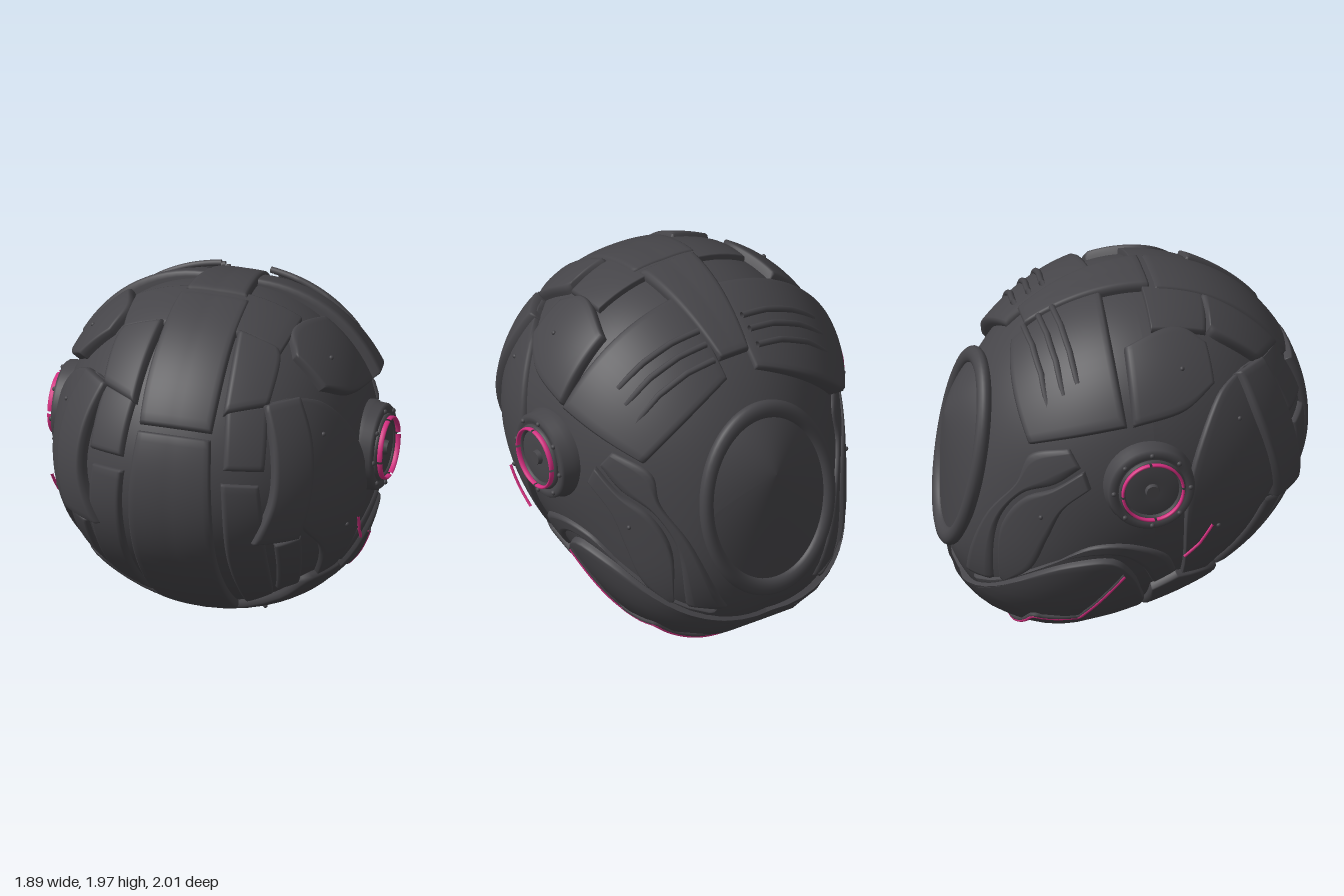
import * as THREE from 'three';

const V = (x, y, z) => new THREE.Vector3(x, y, z);
const CENTER = V(0, 0.97, 0.03);
const TILT = Math.atan2(0.21, 1.11); // lean of the rear hatch
const HATCH_N = V(0, Math.sin(TILT), -Math.cos(TILT));
// Broad swells of the shell: direction, amount, tightness
const SWELLS = [
  [V(0, -0.62, -0.78), 0.22, 5], // rear jaw
  [V(0.46, -0.7, -0.55), 0.12, 10], // jaw corners
  [V(0, -0.75, 0.66), -0.1, 4], // receding chin
  [V(0, 0.75, 0.66), 0.06, 3], // forehead
  [V(0.65, 0.76, 0), 0.06, 6], // upper sides
  [V(0.7, 0.1, 0.7), 0.06, 6], // temples
];

const shellMat = new THREE.MeshStandardMaterial({ color: 0x464549, side: THREE.DoubleSide });
shellMat.name = 'charcoal';
const glowMat = new THREE.MeshStandardMaterial({ color: 0xd42e80 });
glowMat.name = 'pink';

// Shell radius in a direction: a swollen ellipsoid, cut flat at the hatch
function radius(d) {
  let r = 1 / Math.hypot(d.x / 0.84, d.y / 0.9, d.z / 0.92);
  const e = V(Math.abs(d.x), d.y, d.z);
  let f = 1;
  for (const [dir, k, p] of SWELLS) f += k * Math.max(0, e.dot(dir)) ** p;
  r *= f;
  const k = d.dot(HATCH_N);
  return k > 0 ? Math.min(r, 0.88 / k) : r;
}
const surf = (d, h = 0) => d.clone().multiplyScalar(radius(d) + h).add(CENTER);

// Cast a flat position along one axis onto the shell; gives a direction from the centre
function cast(p, axis, sign) {
  p.sub(CENTER);
  let lo = 0, hi = 1.3;
  for (let i = 0; i < 30; i++) {
    const m = (lo + hi) / 2;
    p[axis] = m * sign;
    if (p.length() < radius(p.clone().normalize())) lo = m; else hi = m;
  }
  p[axis] = lo * sign;
  return p.normalize();
}
const S = (z, y) => cast(V(0, y, z), 'x', 1);
const F = (x, y) => cast(V(x, y, 0), 'z', 1);
const T = (x, z) => cast(V(x, 0, z), 'y', 1);
const U = (x, z) => cast(V(x, 0, z), 'y', -1);
const side = (pts) => pts.map(([z, y]) => S(z, y));
const front = (pts) => pts.map(([x, y]) => F(x, y));
const flip = (pts) => pts.map((p) => V(-p.x, p.y, p.z));

function mesh(name, geo, mat, parent) {
  const m = new THREE.Mesh(geo, mat);
  m.name = name;
  parent.add(m);
  return m;
}

// Steps across a panel, with a rounded rim: [position, height level]
function steps(n, length) {
  const e = Math.min(0.2, 0.02 / Math.max(length, 0.01));
  const list = [[0, 0], [0, 0.6], [e * 0.35, 0.9], [e, 1]];
  for (let i = 1; i < n; i++) list.push([e + (1 - 2 * e) * i / n, 1]);
  return list.concat([[1 - e, 1], [1 - e * 0.35, 0.9], [1, 0.6], [1, 0]]);
}

// Raised plate on the shell, lofted between edge curves a and b
function panelGeometry(a, b, h0, h1) {
  const ca = new THREE.CatmullRomCurve3(a), cb = new THREE.CatmullRomCurve3(b);
  const us = steps(24, (ca.getLength() + cb.getLength()) / 2);
  const vs = steps(16, ca.getPoint(0.5).distanceTo(cb.getPoint(0.5)));
  const pos = [], idx = [];
  for (const [u, lu] of us) {
    const pa = ca.getPoint(u), pb = cb.getPoint(u);
    for (const [v, lv] of vs) {
      const h = h0 + (h1 - h0) * v;
      const p = surf(pa.clone().lerp(pb, v).normalize(), -0.03 + (h + 0.03) * Math.min(lu, lv));
      pos.push(p.x, p.y, p.z);
    }
  }
  // choose the winding that faces outward
  const am = ca.getPoint(0.5), bm = cb.getPoint(0.5);
  const along = ca.getPoint(0.55).sub(ca.getPoint(0.45)).add(cb.getPoint(0.55)).sub(cb.getPoint(0.45));
  const out = along.cross(bm.clone().sub(am)).dot(am.clone().add(bm)) > 0;
  const w = vs.length;
  for (let i = 0; i < us.length - 1; i++) for (let j = 0; j < w - 1; j++) {
    const k = i * w + j;
    if (out) idx.push(k, k + w, k + 1, k + 1, k + w, k + w + 1);
    else idx.push(k, k + 1, k + w, k + 1, k + w + 1, k + w);
  }
  const g = new THREE.BufferGeometry();
  g.setAttribute('position', new THREE.Float32BufferAttribute(pos, 3));
  g.setIndex(idx);
  g.computeVertexNormals();
  return g;
}

// Tube that follows the shell through the given directions
function tubeGeometry(dirs, h, r) {
  const pts = [];
  dirs.slice(1).forEach((d, i) => {
    for (let k = 0; k < 6; k++) pts.push(surf(dirs[i].clone().lerp(d, k / 6).normalize(), h));
  });
  pts.push(surf(dirs[dirs.length - 1], h));
  return new THREE.TubeGeometry(new THREE.CatmullRomCurve3(pts), 60, r, 8);
}

export function createModel() {
  const root = new THREE.Group();
  root.name = 'armouredHelmet';

  // Inner shell
  const shell = new THREE.SphereGeometry(1, 96, 64);
  const sp = shell.attributes.position;
  for (let i = 0; i < sp.count; i++) {
    const p = surf(V().fromBufferAttribute(sp, i).normalize());
    sp.setXYZ(i, p.x, p.y, p.z);
  }
  shell.computeVertexNormals();
  mesh('innerShell', shell, shellMat, root);

  const single = (name, a, b, h) => mesh(name, panelGeometry(a, b, h, h), shellMat, root);
  const pair = (name, a, b, h, h1 = h) => {
    mesh(name + 'Left', panelGeometry(a, b, h, h1), shellMat, root);
    mesh(name + 'Right', panelGeometry(flip(a), flip(b), h, h1), shellMat, root);
  };
  const across = (name, a, h) => single(name, a, flip(a), h);

  // Plates across the middle
  across('facePlate', front([[0.2, 1.42], [0.225, 1.1], [0.225, 0.7], [0.19, 0.22]]), 0.045);
  across('crestPlate', [T(0.19, 0.15), F(0.2, 1.8), F(0.2, 1.45)], 0.04);
  across('crownPlate', [T(0.46, 0.08), T(0.44, 0.38)], 0.032);
  across('crownBridge', [T(0.09, -0.52), T(0.14, -0.2), T(0.17, 0.13)], 0.05);
  across('jaw', side([[0.02, 0.28], [-0.07, 0.5], [-0.18, 0.61], [-0.4, 0.59], [-0.6, 0.5], [-0.78, 0.36], [-0.88, 0.22]]), 0.04);
  const chinTop = [S(0.17, 0.46), S(0.4, 0.45), F(0.42, 0.32)];
  const chinEnd = [S(0.04, 0.38), U(0.55, 0.04), U(0.3, 0.04)];
  single('chin', [...chinTop, F(0, 0.2), ...flip(chinTop).reverse()],
    [...chinEnd, U(0, 0.04), ...flip(chinEnd).reverse()], 0.045);

  // Forehead and face plates
  pair('foreheadBlock', [T(0.2, 0.39), F(0.22, 1.75), F(0.24, 1.53)], [T(0.42, 0.39), F(0.44, 1.73), F(0.45, 1.55)], 0.055);
  pair('browBlock', front([[0.25, 1.54], [0.28, 1.27]]), front([[0.45, 1.55], [0.48, 1.25]]), 0.035);
  pair('faceSidePlate', front([[0.27, 1.2], [0.28, 0.75], [0.25, 0.28]]), front([[0.46, 1.18], [0.48, 0.8], [0.42, 0.38]]), 0.03);
  pair('lowerFacePlate', front([[0.52, 0.8], [0.5, 0.6], [0.44, 0.4]]), front([[0.64, 0.83], [0.61, 0.62], [0.54, 0.42]]), 0.025);
  pair('templeGuard', front([[0.42, 1.56], [0.5, 1.34], [0.51, 1.1], [0.41, 0.84]]),
    front([[0.57, 1.56], [0.66, 1.35], [0.68, 1.1], [0.62, 0.84]]), 0.065);

  // Crown and side plates
  pair('upperSidePlate', [T(0.5, 0.36), T(0.44, 0.22), T(0.52, -0.08)], side([[0.37, 1.55], [0.2, 1.46], [-0.08, 1.4]]), 0.05, 0.06);
  pair('rearCrownPlate', [T(0.09, -0.12), T(0.09, -0.36), T(0.09, -0.6)], side([[-0.11, 1.4], [-0.35, 1.34], [-0.57, 1.26]]), 0.03, 0.1);
  pair('cheekPlate', side([[0.62, 1.57], [0.72, 1.2], [0.7, 0.92], [0.51, 0.7], [0.33, 0.45]]),
    side([[0.56, 1.57], [0.4, 1.5], [0.24, 1.2], [0.19, 0.9], [0.2, 0.45]]), 0.03);
  pair('upperFin', side([[-0.41, 1.27], [-0.61, 1.19], [-0.67, 1.03], [-0.81, 0.81], [-0.89, 0.38]]),
    side([[-0.36, 1.17], [-0.49, 1.06], [-0.65, 0.97], [-0.76, 0.79], [-0.78, 0.4]]), 0.02);
  pair('lowerFin', side([[-0.34, 1.16], [-0.49, 1.04], [-0.64, 0.95], [-0.74, 0.78], [-0.74, 0.43]]),
    side([[-0.31, 1.06], [-0.45, 0.92], [-0.53, 0.73], [-0.61, 0.53], [-0.73, 0.43]]), 0.03);
  pair('jawTrim', side([[0.17, 0.48], [0.1, 0.62], [-0.1, 0.71], [-0.3, 0.7], [-0.5, 0.58], [-0.86, 0.36]]),
    side([[0.05, 0.4], [-0.03, 0.55], [-0.15, 0.64], [-0.38, 0.63], [-0.58, 0.54], [-0.84, 0.33]]), 0.02);

  for (const s of [1, -1]) {
    const label = s > 0 ? 'Left' : 'Right';
    const m = (pts) => (s > 0 ? pts : flip(pts));

    // Vent bars, glowing lines and bolts
    for (const z of [-0.325, -0.395, -0.47])
      mesh('ventBar' + label, tubeGeometry(m([T(0.13, z - 0.045), T(0.28, z - 0.03), T(0.44, z - 0.015), T(0.58, z)]), 0.065, 0.018), shellMat, root);
    const zig = m([S(-0.115, 0.53), S(-0.325, 0.215), S(-0.555, 0.22), U(0, -0.59)]);
    mesh('jawGroove' + label, tubeGeometry(zig, 0.036, 0.017), shellMat, root);
    mesh('jawGlow' + label, tubeGeometry(zig, 0.047, 0.009), glowMat, root);
    mesh('cheekGlow' + label, tubeGeometry(m(side([[0.32, 0.83], [0.255, 0.72], [0.18, 0.645]])), 0.06, 0.008), glowMat, root);
    for (const [z, y, h] of [[0.2, 1.64, 0.055], [0.5, 1.36, 0.03], [0.37, 0.79, 0.03], [-0.55, 0.87, 0.03], [0.24, 0.2, 0.045]])
      mesh('bolt' + label, new THREE.SphereGeometry(0.013, 10, 8), shellMat, root).position.copy(surf(m([S(z, y)])[0], h));

    // Round ear hub
    const hub = new THREE.Group();
    hub.name = 'earHub' + label;
    hub.position.set(s * 0.78, 1.08, 0);
    hub.rotation.z = -s * Math.PI / 2;
    root.add(hub);
    const profile = [[0.25, 0], [0.25, 0.05], [0.24, 0.06], [0.237, 0.11], [0.225, 0.125], [0.195, 0.125], [0.19, 0.11],
      [0.15, 0.11], [0.145, 0.128], [0.05, 0.125], [0, 0.125]];
    mesh('hubBody', new THREE.LatheGeometry(profile.map(([r, y]) => new THREE.Vector2(r, y)), 48), shellMat, hub);
    mesh('hubRing', new THREE.TorusGeometry(0.166, 0.018, 8, 48).rotateX(Math.PI / 2), shellMat, hub).position.y = 0.122;
    mesh('hubKnob', new THREE.CylinderGeometry(0.036, 0.042, 0.03, 20), shellMat, hub).position.y = 0.135;
    for (let i = 0; i < 4; i++) {
      const arc = new THREE.TorusGeometry(0.166, 0.008, 8, 20, Math.PI / 2 - 0.08)
        .rotateX(Math.PI / 2).rotateY(0.04 + i * Math.PI / 2).scale(1, 2.2, 1);
      mesh('hubGlow', arc, glowMat, hub).position.y = 0.147;
    }
    for (let i = 0; i < 8; i++) {
      const t = i * Math.PI / 4;
      mesh('hubBolt', new THREE.SphereGeometry(0.014, 10, 8), shellMat, hub).position.set(0.211 * Math.cos(t), 0.127, 0.211 * Math.sin(t));
    }
  }

  // Rear hatch: oval rim and high-set dome, built facing +z and turned to the back
  const hatch = new THREE.Group();
  hatch.name = 'rearHatch';
  hatch.position.set(0, 0.975, -0.865);
  hatch.rotation.set(TILT, Math.PI, 0);
  root.add(hatch);
  mesh('hatchRim', new THREE.TorusGeometry(1, 0.1, 14, 72).scale(0.385, 0.515, 0.4), shellMat, hatch);
  const dome = new THREE.SphereGeometry(1, 48, 24, 0, Math.PI * 2, 0, Math.PI / 2).rotateX(Math.PI / 2);
  const dp = dome.attributes.position;
  for (let i = 0; i < dp.count; i++) {
    const x = dp.getX(i), y = dp.getY(i);
    const f = 1 - Math.hypot(x, y) ** 1.4;
    dp.setXYZ(i, x * 0.37, y * 0.5 + 0.18 * f, f * 0.13);
  }
  dome.computeVertexNormals();
  mesh('hatchDome', dome, shellMat, hatch);
  return root;
}
